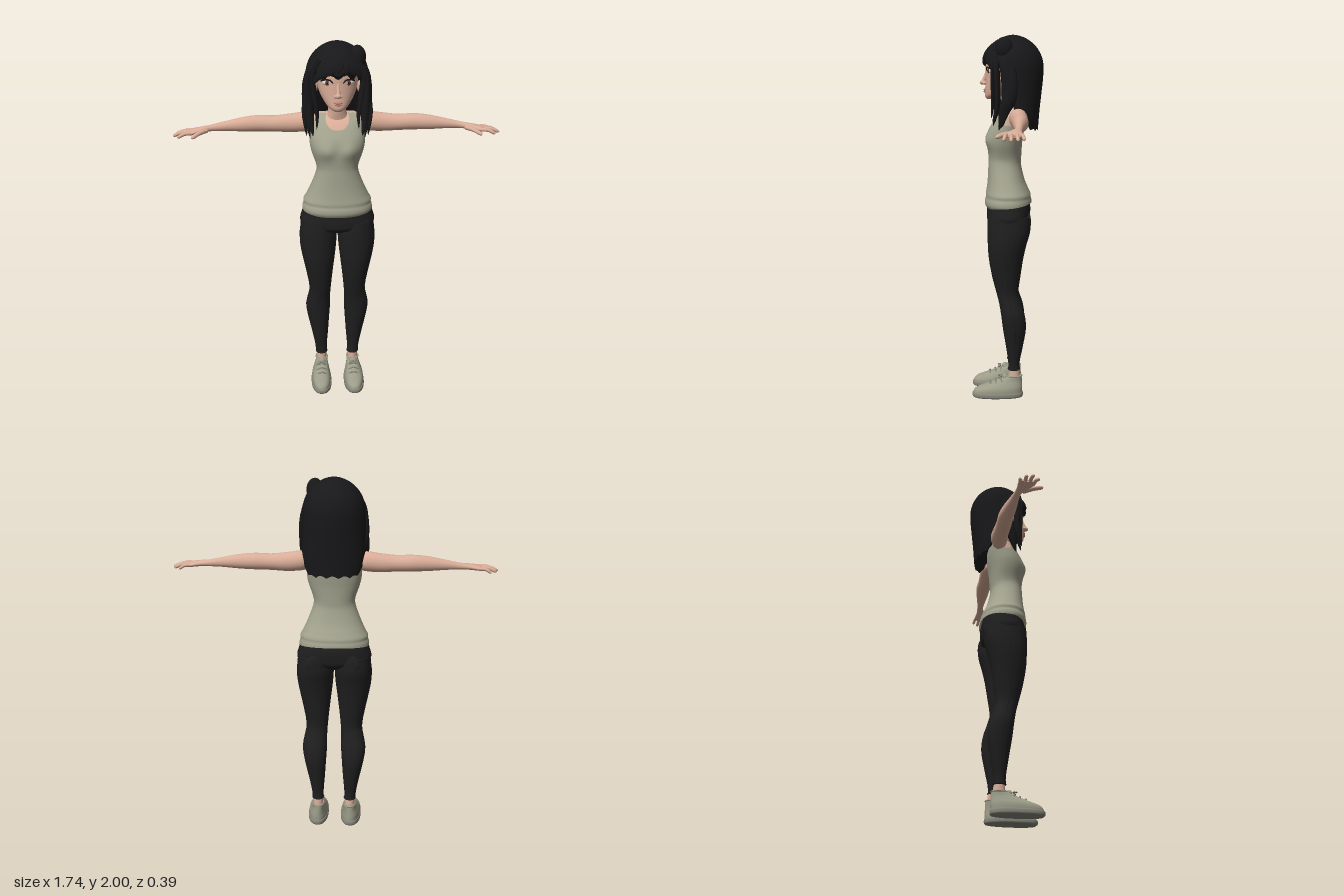
import * as THREE from 'three';

const mat = (name, color, side = THREE.FrontSide) => {
  const m = new THREE.MeshStandardMaterial({ color, side });
  m.name = name;
  return m;
};
const V = (x, y, z) => new THREE.Vector3(x, y, z);
const lerp = THREE.MathUtils.lerp, smooth = THREE.MathUtils.smoothstep;

// Closed tube of rings; fn(s, angle) gives a point, s runs 0..1 along the part
function tube(along, around, fn, caps = true) {
  const pos = [], idx = [];
  for (let i = 0; i <= along; i++)
    for (let j = 0; j < around; j++) pos.push(...fn(i / along, (j / around) * Math.PI * 2).toArray());
  for (let i = 0; i < along; i++)
    for (let j = 0; j < around; j++) {
      const k = (j + 1) % around, p = i * around + j, r = i * around + k;
      idx.push(p, p + around, r, p + around, r + around, r);
    }
  if (caps) for (const s of [0, 1]) {
    const base = pos.length / 3, mid = V(0, 0, 0);
    for (let j = 0; j < around; j++) {
      const p = fn(s, (j / around) * Math.PI * 2);
      mid.addScaledVector(p, 1 / around);
      pos.push(...p.toArray());
    }
    pos.push(...mid.toArray());
    for (let j = 0; j < around; j++) {
      const k = (j + 1) % around;
      idx.push(base + around, base + (s ? k : j), base + (s ? j : k));
    }
  }
  const g = new THREE.BufferGeometry();
  g.setAttribute('position', new THREE.Float32BufferAttribute(pos, 3));
  g.setIndex(idx);
  g.computeVertexNormals();
  return g;
}

// Smoothly interpolated row [t, a0, a1, b0, b1]
function section(rows, t) {
  let k = 0;
  while (k < rows.length - 2 && t > rows[k + 1][0]) k++;
  const slope = (i, c) => {
    const p = rows[Math.max(i - 1, 0)], q = rows[Math.min(i + 1, rows.length - 1)];
    return (q[c] - p[c]) / (q[0] - p[0]);
  };
  const A = rows[k], B = rows[k + 1], h = B[0] - A[0];
  const u = THREE.MathUtils.clamp((t - A[0]) / h, 0, 1), u2 = u * u, u3 = u2 * u;
  return [1, 2, 3, 4].map(c => (2 * u3 - 3 * u2 + 1) * A[c] + (u3 - 2 * u2 + u) * h * slope(k, c)
    + (3 * u2 - 2 * u3) * B[c] + (u3 - u2) * h * slope(k + 1, c));
}

// Loft through extents; axis 'y' rows are x,z extents, axis 'x' rows are z,y extents
function loft(rows, o = {}) {
  const { axis = 'y', power = 2, along = 40, around = 40, bottom, top, ease, caps = true } = o;
  const sp = v => Math.sign(v) * Math.abs(v) ** (2 / power);
  return tube(along, around, (s, th) => {
    const t0 = bottom ? bottom(th) : rows[0][0], t1 = top ? top(th) : rows[rows.length - 1][0];
    const t = lerp(t0, t1, ease ? Math.sin(s * Math.PI / 2) : s);
    const [a0, a1, b0, b1] = section(rows, t);
    const a = (a0 + a1) / 2 + (a1 - a0) / 2 * sp(Math.cos(th));
    const b = (b0 + b1) / 2 + (b1 - b0) / 2 * sp(Math.sin(th));
    return axis === 'y' ? V(a, t, b) : V(t, b, a);
  }, caps);
}
const sym = rows => rows.map(([y, x, z0, z1]) => [y, -x, x, z0, z1]);

// Flattened strand along a curve, facing away from a centre point
const lockTaper = s => Math.max(0.03, Math.max(0, Math.sin(Math.PI * (0.12 + 0.88 * s))) ** 0.6);
const fingerTaper = s => Math.max(0.05, s < 0.8 ? 1 - 0.15 * s : 0.88 * Math.sqrt(Math.max(0, 1 - ((s - 0.8) / 0.2) ** 2)));
function strand(points, w, th, taper = lockTaper, centre = V(0, 1.8, -0.03)) {
  const curve = new THREE.CatmullRomCurve3(points.map(p => (p.isVector3 ? p : V(...p))));
  return tube(20, 10, (s, a) => {
    const p = curve.getPoint(s), T = curve.getTangent(s), N = p.clone().sub(centre).normalize();
    const W = T.clone().cross(N).normalize();
    N.crossVectors(W, T);
    return p.addScaledVector(W, w * taper(s) * Math.cos(a)).addScaledVector(N, th * taper(s) * Math.sin(a));
  });
}
function ball(x, y, z, rx, ry, rz, turn = 0) {
  return new THREE.SphereGeometry(1, 24, 16).scale(rx, ry, rz).rotateY(turn).translate(x, y, z);
}
function mirror(g) {
  const m = g.clone().scale(-1, 1, 1), ix = m.index.array;
  for (let i = 0; i < ix.length; i += 3) [ix[i], ix[i + 1]] = [ix[i + 1], ix[i]];
  m.computeVertexNormals();
  return m;
}

export function createModel() {
  const model = new THREE.Group();
  model.name = 'woman';
  const D = THREE.DoubleSide;
  const skin = mat('skin', 0xd9ad98), hair = mat('black hair', 0x18181a, D), pants = mat('black denim', 0x1f1f20);
  const shirt = mat('olive cotton', 0xa2a28e, D), shoe = mat('olive canvas', 0x9c9c89), sole = mat('sole grey', 0x85857a);
  const white = mat('eye white', 0xe6dfd8), iris = mat('brown iris', 0x5a3a26), lips = mat('lips', 0xc08478);
  const add = (name, g, m) => {
    const mesh = new THREE.Mesh(g, m);
    mesh.name = name;
    model.add(mesh);
  };
  const pair = (name, g, m) => { add(name + 'Left', g, m); add(name + 'Right', mirror(g), m); };

  // Tank top with scooped neck, armholes and a rolled hem
  const torso = [[1.065, .178, -.118, .113], [1.085, .191, -.131, .124], [1.11, .19, -.132, .124], [1.125, .184, -.128, .119],
    [1.14, .186, -.128, .12], [1.17, .17, -.115, .115], [1.22, .147, -.094, .109], [1.3, .117, -.075, .105], [1.34, .113, -.075, .104],
    [1.42, .138, -.08, .11], [1.46, .147, -.085, .108], [1.5, .149, -.09, .098], [1.54, .148, -.092, .075],
    [1.58, .143, -.088, .045], [1.61, .125, -.068, .01], [1.625, .1, -.045, -.01]];
  const neckline = th => {
    const c = Math.abs(Math.cos(th)), front = Math.sin(th) > 0;
    if (c < .5) return lerp(front ? 1.548 : 1.575, 1.622, (c / .5) ** 3);
    return 1.622 - .1 * smooth(c, .82, 1);
  };
  const top = loft(sym(torso), { power: 2.2, along: 70, around: 96, caps: false, top: neckline,
    bottom: th => 1.083 - .016 * Math.sin(th) });
  const tp = top.attributes.position;
  for (let i = 0; i < tp.count; i++) {
    const x = Math.abs(tp.getX(i)), y = tp.getY(i), z = tp.getZ(i);
    if (z > 0) tp.setZ(i, z + .017 * Math.exp(-(((x - .065) / .045) ** 2) - ((y - 1.44) / .045) ** 2));
  }
  top.computeVertexNormals();
  add('tankTop', top, shirt);
  add('upperChest', loft(sym(torso.slice(9).map(([y, x, a, b]) => [y, x - .005, a + .005, b - .005])), { power: 2.2 }), skin);
  add('neck', loft(sym([[1.55, .08, -.075, .02], [1.6, .06, -.07, .028], [1.64, .048, -.06, .035], [1.72, .048, -.06, .04]])), skin);

  // Trousers
  add('hips', loft(sym([[.955, .09, -.07, .06], [.985, .18, -.11, .105], [1.02, .205, -.122, .114], [1.07, .194, -.126, .112],
    [1.12, .18, -.118, .108]]), { power: 2.3 }), pants);
  const leg = [[.155, .06, .122, -.065, -.002], [.2, .06, .125, -.066, -.002], [.3, .052, .145, -.085, .012], [.4, .045, .167, -.1, .028],
    [.48, .04, .177, -.092, .038], [.55, .04, .164, -.07, .05], [.6, .037, .156, -.058, .063], [.7, .027, .172, -.07, .088],
    [.8, .015, .193, -.085, .105], [.88, .006, .206, -.103, .11], [.95, .003, .207, -.122, .112], [1.03, .012, .2, -.122, .108]];
  pair('trouserLeg', loft(leg, { along: 60, power: 2.1 }), pants);
  pair('cuff', new THREE.TorusGeometry(.031, .004, 8, 28).rotateX(Math.PI / 2).translate(.091, .16, -.034), pants);
  pair('sideSeam', strand(leg.slice(0, 11).map(([y, , x, a, b]) => [x, y, (a + b) / 2]), .003, .002, () => 1, V(0, .6, 0)), pants);
  // Back pockets
  pair('backPocket', ball(.1, 1.0, -.112, .045, .05, .012, .1), pants);

  // Ankles and shoes
  pair('ankle', loft([[.06, .062, .12, -.07, .0], [.12, .063, .119, -.068, -.004], [.2, .065, .117, -.06, -.008]]), skin);
  pair('sole', loft([[0, .041, .148, -.08, .19], [.006, .037, .153, -.084, .198], [.024, .037, .153, -.084, .199],
    [.028, .04, .15, -.081, .195]], { power: 2.4, along: 10, around: 48 }), sole);
  pair('shoeUpper', loft([[.026, .041, .149, -.08, .193], [.042, .041, .149, -.081, .188], [.058, .045, .146, -.081, .167],
    [.075, .05, .138, -.08, .12], [.095, .055, .129, -.079, .065], [.112, .057, .125, -.078, .025], [.122, .059, .123, -.077, .012]],
  { power: 2.3, along: 24, around: 48 }), shoe);
  pair('tongue', ball(.092, .115, .015, .022, .018, .014), shoe);
  pair('collar', new THREE.TorusGeometry(.036, .005, 8, 28).scale(.9, 1.2, 1).rotateX(Math.PI / 2).translate(.091, .12, -.033), shoe);
  for (let i = 0; i < 3; i++) {
    const y = .108 - i * .012, z = .04 + i * .03;
    pair('lace' + (i + 1), strand([[.062, y - .014, z - .006], [.092, y + .005, z], [.124, y - .014, z - .006]], .005, .004, () => 1, V(.09, -1, z)), sole);
  }
  pair('laceBow', strand([[.07, .115, .05], [.085, .122, .04], [.1, .122, .04], [.118, .115, .05]], .006, .004, () => 1, V(.09, -1, 0)), sole);

  // Arms and hands
  pair('arm', loft([[.125, -.085, -.005, 1.52, 1.6], [.17, -.1, -.005, 1.51, 1.615], [.25, -.1, -.012, 1.506, 1.606],
    [.33, -.096, -.012, 1.51, 1.598], [.42, -.096, -.014, 1.512, 1.6], [.5, -.084, -.015, 1.514, 1.592], [.6, -.065, -.02, 1.52, 1.572],
    [.67, -.055, -.018, 1.521, 1.557], [.72, -.052, .008, 1.518, 1.55], [.765, -.056, .03, 1.513, 1.542], [.79, -.052, .032, 1.513, 1.535],
    [.8, -.044, .024, 1.517, 1.53]], { axis: 'x', along: 70, around: 32 }), skin);
  const fingers = [[.77, -.045, .832, -.058, .0095], [.78, -.021, .862, -.029, .0105], [.78, .002, .872, .004, .0105], [.77, .022, .845, .038, .0105]];
  fingers.forEach(([x0, z0, x1, z1, r], i) => pair('finger' + (i + 1), strand([[x0, 1.527, z0], [(x0 + x1) / 2, 1.526, (z0 + z1) / 2],
    [x1, 1.508, z1]], r, r, fingerTaper, V(.8, -9, 0)), skin));
  pair('thumb', strand([[.695, 1.53, -.015], [.73, 1.528, .03], [.768, 1.515, .074]], .014, .012, fingerTaper, V(.75, -9, 0)), skin);

  // Head and face
  add('head', loft(sym([[1.658, .018, .07, .11], [1.666, .034, .05, .118], [1.68, .052, .02, .122], [1.71, .075, -.03, .121],
    [1.75, .096, -.08, .119], [1.8, .11, -.125, .118], [1.85, .116, -.145, .117], [1.9, .105, -.14, .1], [1.94, .075, -.1, .06],
    [1.96, .03, -.05, .01]]), { along: 50, around: 48 }), skin);
  add('noseBridge', strand([[0, 1.82, .108], [0, 1.785, .118], [0, 1.748, .133]], .012, .012, s => .6 + .4 * s), skin);
  add('noseTip', ball(0, 1.748, .131, .015, .013, .019), skin);
  pair('nostril', ball(.013, 1.744, .124, .01, .009, .012), skin);
  add('upperLip', ball(0, 1.709, .119, .024, .006, .012), lips);
  add('lowerLip', ball(0, 1.699, .117, .02, .007, .013), lips);
  pair('ear', ball(.113, 1.775, .01, .012, .034, .02), skin);
  pair('eyeball', ball(.055, 1.81, .089, .029, .016, .016, .45), white);
  pair('iris', ball(.054, 1.81, .1, .012, .014, .009), iris);
  pair('pupil', ball(.054, 1.81, .104, .006, .007, .006), hair);
  pair('upperLash', strand([[.026, 1.811, .112], [.04, 1.825, .112], [.06, 1.828, .106], [.086, 1.817, .082]], .004, .004, () => 1), hair);
  pair('eyebrow', strand([[.025, 1.848, .116], [.055, 1.857, .105], [.09, 1.845, .08]], .005, .003), hair);

  // Hair shell: short over the face, long at the back
  const hairRows = sym([[1.485, .14, -.165, 0], [1.55, .158, -.17, .03], [1.6, .166, -.174, .055], [1.7, .168, -.185, .1],
    [1.78, .168, -.193, .13], [1.85, .163, -.193, .136], [1.9, .148, -.178, .12], [1.94, .122, -.152, .09], [1.97, .088, -.118, .055],
    [1.988, .055, -.085, .025], [1.997, .026, -.055, -.005], [2.0, .004, -.034, -.026]]);
  add('hairShell', loft(hairRows, { along: 60, around: 120, ease: true, bottom: th => {
    const s = Math.sin(th);
    const back = 1.49 + .014 * Math.abs(Math.sin(th * 7)) + .06 * smooth(s, -.6, .1);
    return lerp(back, 1.862 + .012 * Math.sin(th * 11), smooth(s, .2, .36));
  } }), hair);

  // Swept fringe: [start angle, end angle, end height, width]
  const fringe = [[0, -62, 1.77, .022], [8, -46, 1.815, .026], [6, -32, 1.83, .022], [12, -18, 1.85, .022], [16, -4, 1.86, .02],
    [22, 14, 1.855, .02], [24, 32, 1.845, .024], [28, 48, 1.81, .024], [32, 60, 1.765, .02]];
  fringe.forEach(([p0, p1, y1, w], i) => {
    const pts = [0, .25, .5, .75, 1].map(u => {
      const y = lerp(1.97, y1, u), [, rx, z0, z1] = section(hairRows, y), a = lerp(p0, p1, u) * Math.PI / 180;
      return V(rx * Math.sin(a), y, (z0 + z1) / 2 + (z1 - z0) / 2 * Math.cos(a));
    });
    add('fringeLock' + (i + 1), strand(pts, w, .007), hair);
  });

  // Long locks framing the face
  const locks = [
    [[[.08, 1.94, .04], [.15, 1.85, .02], [.165, 1.7, .005], [.158, 1.6, .02], [.145, 1.5, .05]], .03, .016],
    [[[.1, 1.92, .06], [.143, 1.83, .06], [.143, 1.68, .055], [.14, 1.6, .06], [.13, 1.52, .08]], .014, .022],
    [[[.12, 1.92, .02], [.165, 1.8, -.01], [.172, 1.67, -.01], [.172, 1.59, .025], [.162, 1.51, .04]], .035, .014],
    [[[.09, 1.92, .08], [.127, 1.84, .08], [.12, 1.74, .08], [.108, 1.64, .08], [.11, 1.56, .088]], .009, .016]];
  locks.forEach(([p, w, t], i) => pair('sideLock' + (i + 1), strand(p, w, t), hair));
  // Gathered tuft on the left side
  add('hairTuft', ball(.103, 1.925, .02, .045, .062, .05), hair);
  return model;
}
